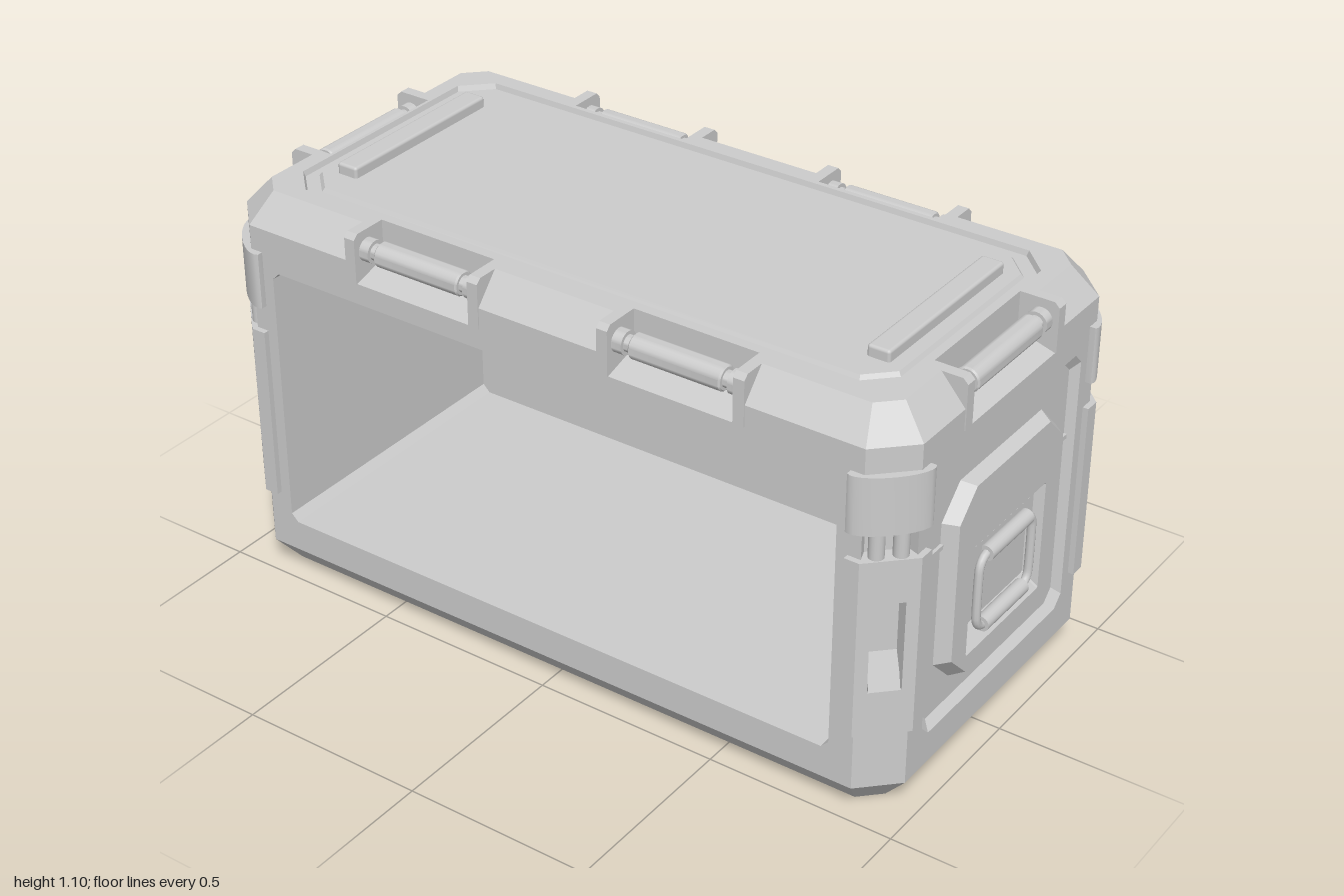
import * as THREE from 'three';
import { toCreasedNormals } from 'three/addons/utils/BufferGeometryUtils.js';
import { RoundedBoxGeometry } from 'three/addons/geometries/RoundedBoxGeometry.js';

const mat = new THREE.MeshStandardMaterial({ color: 0xcccccc, side: THREE.DoubleSide });
const X = 0.97, Z = 0.485, CH = 0.09;          // body half sizes and corner chamfer
const Y0 = 0.08, Y1 = 1.0, TOP = 1.075;        // heights of the straight walls and the lid
const SLOPE = 0.065, NOTCH = 0.1;              // lid slope and handle notch depths

function add(parent, geo, name, x = 0, y = 0, z = 0) {
  const m = new THREE.Mesh(geo, mat);
  m.name = name;
  m.position.set(x, y, z);
  parent.add(m);
  return m;
}

// Chamfered rectangle, counter-clockwise, at depth d
function oct(w, y0, y1, c, d = 0, u = 0) {
  return [[w, y0 + c], [w, y1 - c], [w - c, y1], [c - w, y1], [-w, y1 - c], [-w, y0 + c], [c - w, y0], [w - c, y0]]
    .map(([a, b]) => new THREE.Vector3(a + u, b, d));
}

function quads(list) {
  const p = [];
  for (const [a, b, c, d] of list) for (const v of [a, b, c, a, c, d]) p.push(v.x, v.y, v.z);
  const g = new THREE.BufferGeometry();
  g.setAttribute('position', new THREE.Float32BufferAttribute(p, 3));
  g.computeVertexNormals();
  return g;
}

// Faces joining a stack of outlines; keep picks which sides are built
function loft(rings, keep = () => true) {
  const list = [];
  for (let r = 0; r + 1 < rings.length; r++) {
    for (let i = 0; i < 8; i++) {
      const j = (i + 1) % 8;
      if (keep(i)) list.push([rings[r][i], rings[r][j], rings[r + 1][j], rings[r + 1][i]]);
    }
  }
  return quads(list);
}

function flat(outline, holes = []) {
  const to2 = (pts) => pts.map((p) => new THREE.Vector2(p.x, p.y));
  const s = new THREE.Shape(to2(outline));
  s.holes = holes.map((h) => new THREE.Path(to2(h)));
  return new THREE.ShapeGeometry(s);
}

// Flat frame around stepped outlines, closed by a last face that may have slots
function panel(parent, name, outline, rings, slots = []) {
  add(parent, flat(outline, [rings[0]]), name + 'Frame');
  add(parent, loft(rings), name + 'Steps');
  const last = rings[rings.length - 1], d = last[0].z;
  add(parent, flat(last, slots), name + 'Face', 0, 0, d);
  for (const s of slots) {
    const floor = s.map((p) => new THREE.Vector3(p.x, p.y, d - 0.015));
    add(parent, loft([s.map((p) => new THREE.Vector3(p.x, p.y, d)), floor]), name + 'SlotEdge');
    add(parent, flat(floor), name + 'SlotFloor', 0, 0, d - 0.015);
  }
}

function extrude(pts, depth) {
  const s = new THREE.Shape(pts.map(([a, b]) => new THREE.Vector2(a, b)));
  return new THREE.ExtrudeGeometry(s, { depth, bevelEnabled: false });
}
// Prism from a (depth, height) profile, running from u to u + width
const across = (pts, u, width) => extrude(pts, width).rotateY(-Math.PI / 2).translate(u + width, 0, 0);
// Prism from a (side, outward) plan, running from y0 to y1
const upright = (pts, y0, y1) => extrude(pts.map(([t, n]) => [t, -n]), y1 - y0).rotateX(-Math.PI / 2).translate(0, y0, 0);

// Notch in the lid edge with two brackets and a roller
function lidHandle(parent, u, h) {
  const g = new THREE.Group();
  g.name = 'lidHandle';
  g.position.x = u;
  parent.add(g);
  const P = (a, y, d) => new THREE.Vector3(a, y, d);
  const lip = [P(-h, 0.945, 0), P(h, 0.945, 0)], mid = [P(-h, 0.975, -NOTCH), P(h, 0.975, -NOTCH)];
  add(g, quads([[lip[0], lip[1], mid[1], mid[0]],
    [mid[0], mid[1], P(h, TOP, -NOTCH), P(-h, TOP, -NOTCH)]]), 'notch');
  const profile = [[0.003, 0.945], [0.003, 1.062], [-0.01, TOP], [-NOTCH, TOP], [-NOTCH, 0.945]];
  add(g, across(profile, -h - 0.03, 0.03), 'bracket');
  add(g, across(profile, h, 0.03), 'bracket');
  const e = h - 0.045;
  const half = [[0.032, e - 0.004], [0.028, e], [0.021, e], [0.021, e + 0.018], [0.03, e + 0.018], [0.03, h]];
  const pts = [...half.map(([r, y]) => [r, -y]).reverse(), ...half].map(([r, y]) => new THREE.Vector2(r, y));
  const roller = toCreasedNormals(new THREE.LatheGeometry(pts, 24), 0.6).rotateZ(Math.PI / 2);
  add(g, roller, 'roller', 0, 1.022, -0.042);
}

// Swinging carry handle in the end pocket
function carryHandle(parent) {
  const g = new THREE.Group();
  g.name = 'carryHandle';
  parent.add(g);
  const loop = oct(0.122, 0.355, 0.555, 0.03, 0.01);
  add(g, new THREE.TubeGeometry(new THREE.CatmullRomCurve3(loop, true, 'catmullrom', 0.25), 80, 0.011, 10, true), 'wire');
  for (const y of [0.357, 0.555]) {
    add(g, new THREE.CylinderGeometry(0.02, 0.02, 0.19, 20).rotateZ(Math.PI / 2), 'grip', 0, y, 0.01);
  }
  add(g, new THREE.BoxGeometry(0.29, 0.06, 0.02), 'hingePlate', 0, 0.555, -0.012);
}

// Corner latch, facing outward along its own z
function cornerLatch() {
  const g = new THREE.Group();
  g.name = 'cornerLatch';
  add(g, upright([[-0.064, -0.001], [-0.05, -0.03], [0.05, -0.03], [0.064, -0.001], [0.064, -0.06], [-0.064, -0.06]], 0.24, 0.94), 'recess');
  const back = [[0.099, -0.014], [0.085, -0.028], [0.06, -0.045], [-0.06, -0.045], [-0.085, -0.028], [-0.099, -0.014]];
  const solid = [[-0.071, 0.014], [0.071, 0.014], ...back];
  const slotted = [[-0.071, 0.014], [-0.04, 0.014], [-0.033, -0.02], [0.033, -0.02], [0.04, 0.014], [0.071, 0.014], ...back];
  add(g, upright(solid, 0.24, 0.36), 'latchBase');
  add(g, upright(slotted, 0.36, 0.6), 'latchSlot');
  add(g, upright(solid, 0.6, 0.715), 'latchTop');
  add(g, across([[0.013, 0.36], [-0.02, 0.36], [-0.02, 0.45]], -0.037, 0.074), 'slotRamp');
  for (const t of [-0.028, 0.028]) add(g, new THREE.CylinderGeometry(0.019, 0.019, 0.09, 16), 'pin', t, 0.75, -0.008);
  const arc = [];
  for (let i = 1; i < 12; i++) {
    const a = Math.PI * (1 - i / 12);
    arc.push([0.099 * Math.cos(a), -0.014 + 0.034 * Math.sin(a)]);
  }
  add(g, toCreasedNormals(upright([...arc, ...back], 0.785, 0.935), 0.7), 'latchCap');
  return g;
}

// Body outline seen from above, inset evenly
const plan = (inset, y) => oct(X - inset, inset - Z, Z - inset, CH - 0.586 * inset)
  .map((p) => new THREE.Vector3(p.x, y, -p.y));

export function createModel() {
  const model = new THREE.Group();
  model.name = 'storageCrate';

  // Base and corner faces
  add(model, loft([plan(0.065, 0), plan(0, Y0)]), 'baseBevel');
  add(model, flat(oct(X - 0.065, 0.065 - Z, Z - 0.065, 0.052)).rotateX(Math.PI / 2), 'base');
  const corners = (i) => i % 2 === 1;
  add(model, loft([plan(0, Y0), plan(0, 0.24)], corners), 'lowerCorners');
  add(model, loft([plan(0, 0.935), plan(0, Y1), plan(SLOPE, TOP)], corners), 'upperCorners');

  // Four walls: cavity in front, stepped panels at the ends and back
  const endRings = [oct(0.33, 0.165, 0.885, 0.03), oct(0.312, 0.185, 0.865, 0.03, -0.02),
    oct(0.26, 0.25, 0.79, 0.075, -0.02), oct(0.237, 0.265, 0.778, 0.07, 0.015),
    oct(0.17, 0.31, 0.61, 0.004, 0.015), oct(0.155, 0.35, 0.597, 0.004, -0.022)];
  const backRings = [oct(0.81, 0.165, 0.885, 0.04), oct(0.79, 0.185, 0.865, 0.04, -0.02),
    oct(0.76, 0.215, 0.83, 0.08, -0.02), oct(0.74, 0.235, 0.81, 0.075, 0.01)];
  const frontRings = [oct(0.815, 0.165, 0.89, 0.02), oct(0.815, 0.165, 0.89, 0.02, -0.79)];
  const slots = [-0.52, 0.52].map((u) => oct(0.035, 0.25, 0.51, 0.015, 0, u));
  const long = { U: X - CH, D: Z, at: [-0.37, 0.37], h: 0.17 };
  const end = { U: Z - CH, D: X, at: [0], h: 0.19, rings: endRings, name: 'endPanel' };
  const walls = [{ ...long, rings: frontRings, name: 'cavity' }, end,
    { ...long, rings: backRings, name: 'backPanel', slots }, end];
  const topOutline = [];
  walls.forEach((w, k) => {
    const g = new THREE.Group();
    g.name = w.name + 'Wall';
    g.rotation.y = k * Math.PI / 2;
    g.position.set(Math.sin(g.rotation.y) * w.D, 0, Math.cos(g.rotation.y) * w.D);
    model.add(g);
    const V = (u, y, d = 0) => new THREE.Vector3(u, y, d);
    const outline = [V(-w.U, Y1), V(-w.U, Y0), V(w.U, Y0), V(w.U, Y1)];
    for (const u of [...w.at].reverse()) {
      outline.push(V(u + w.h, Y1), V(u + w.h, 0.945), V(u - w.h, 0.945), V(u - w.h, Y1));
    }
    panel(g, w.name, outline, w.rings, w.slots);
    w.at.forEach((u) => lidHandle(g, u, w.h));

    // Lid slopes between the notches
    const top = w.U - 0.414 * SLOPE;
    const low = [-w.U, ...w.at.flatMap((u) => [u - w.h, u + w.h]), w.U];
    const high = [-top, ...low.slice(1, -1), top];
    const slopes = [];
    for (let i = 0; i < low.length; i += 2) {
      slopes.push([V(low[i], Y1), V(low[i + 1], Y1), V(high[i + 1], TOP, -SLOPE), V(high[i], TOP, -SLOPE)]);
    }
    add(g, quads(slopes), 'lidSlope');
    const edge = [[-top, SLOPE], ...w.at.flatMap((u) => [[u - w.h, SLOPE], [u - w.h, NOTCH], [u + w.h, NOTCH], [u + w.h, SLOPE]]), [top, SLOPE]];
    for (const [u, d] of edge) {
      const p = V(u, 0, w.D - d).applyAxisAngle(V(0, 1), g.rotation.y);
      topOutline.push(V(p.x, -p.z));
    }

    // Seam ribs and carry handles
    if (w.name !== 'cavity') {
      const a = w.rings[1][0].x, b = w.rings[2][0].x;
      for (const s of [-1, 1]) add(g, new THREE.BoxGeometry(a - b, 0.012, 0.012), 'seamRib', s * (a + b) / 2, 0.655, -0.018);
    }
    if (w === end) carryHandle(g);
  });

  // Lid top with a shallow groove and two rails
  const lid = new THREE.Group();
  lid.name = 'lid';
  lid.rotation.x = -Math.PI / 2;
  lid.position.y = TOP;
  model.add(lid);
  panel(lid, 'lidTop', topOutline, [oct(0.862, -0.372, 0.372, 0.07), oct(0.858, -0.368, 0.368, 0.07, -0.014),
    oct(0.835, -0.338, 0.338, 0.065, -0.014), oct(0.828, -0.331, 0.331, 0.062, -0.004)]);
  for (const s of [-1, 1]) add(model, new RoundedBoxGeometry(0.06, 0.04, 0.505, 2, 0.008), 'lidRail', s * 0.763, 1.08, 0);

  // Corner latches
  for (const sx of [-1, 1]) for (const sz of [-1, 1]) {
    const latch = cornerLatch();
    latch.position.set(sx * (X - CH / 2), 0, sz * (Z - CH / 2));
    latch.rotation.y = Math.atan2(sx, sz);
    model.add(latch);
  }
  return model;
}
